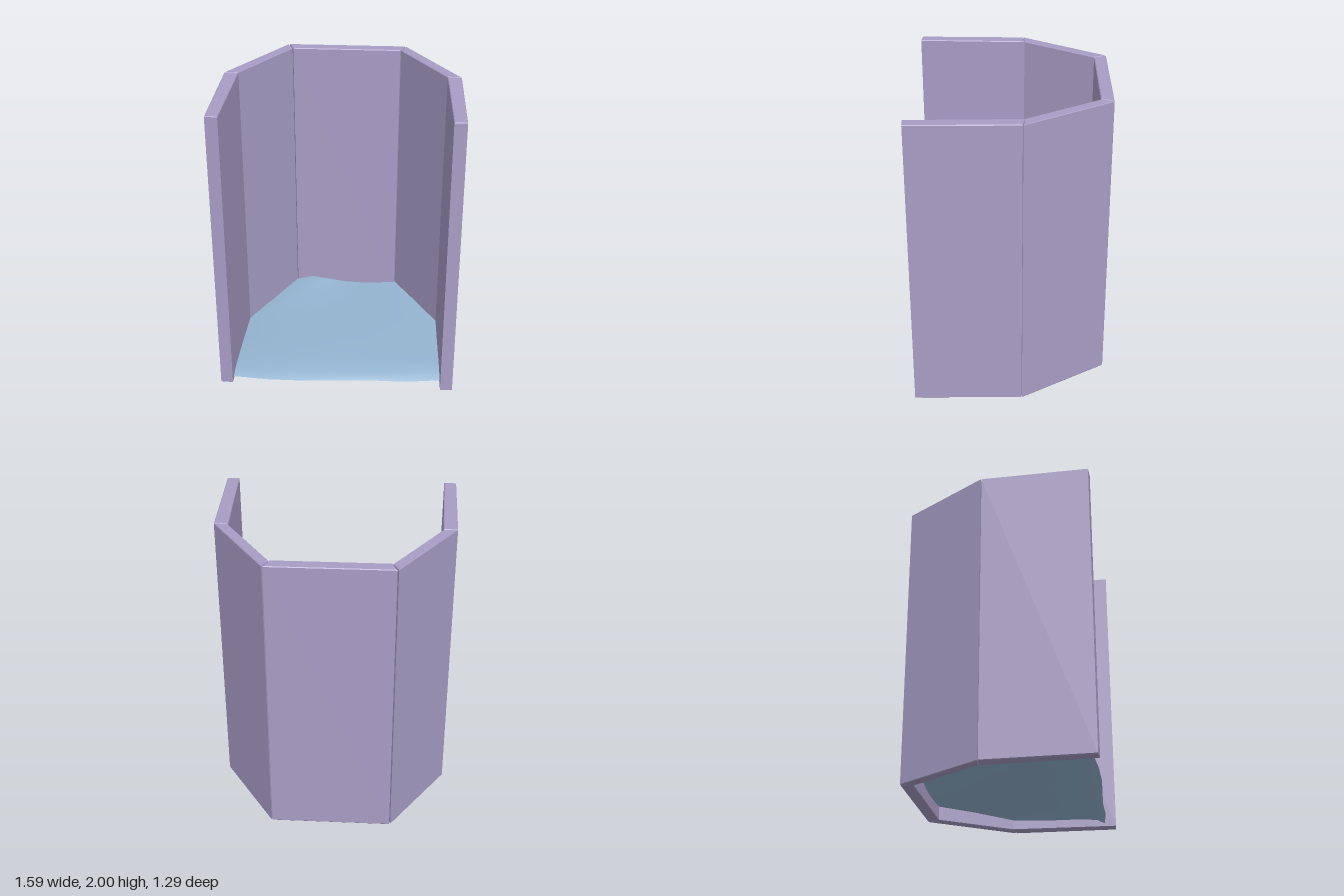
import * as THREE from 'three';

const wallMat = new THREE.MeshStandardMaterial({ color: 0xa89dc6 });
const floorMat = new THREE.MeshStandardMaterial({ color: 0x93b3cf, side: THREE.DoubleSide });

// Upright panel from its footprint corners [x, z], with slightly chamfered edges
function panel(name, corners) {
  const pts = corners.map(([x, z]) => new THREE.Vector2(x, -z));
  if (THREE.ShapeUtils.area(pts) < 0) pts.reverse();
  const b = 0.005;
  const geo = new THREE.ExtrudeGeometry(new THREE.Shape(pts), {
    depth: 2 - 2 * b, bevelEnabled: true, bevelSegments: 1,
    bevelSize: b, bevelThickness: b, bevelOffset: -b,
  });
  geo.rotateX(-Math.PI / 2);
  geo.translate(0, b, 0);
  const mesh = new THREE.Mesh(geo, wallMat);
  mesh.name = name;
  return mesh;
}

// Uneven ground sheet: rows run from back to front, each with its half width and heights
function createFloor() {
  const rows = [
    [-0.57, 0.38, [0.10, 0.13, 0.11, 0.09, 0.085, 0.09, 0.10]],
    [-0.33, 0.53, [0.07, 0.10, 0.09, 0.08, 0.08, 0.09, 0.09]],
    [-0.08, 0.70, [0.04, 0.07, 0.08, 0.08, 0.08, 0.08, 0.07]],
    [0.20, 0.70, [0.05, 0.07, 0.075, 0.08, 0.08, 0.075, 0.06]],
    [0.42, 0.71, [0.05, 0.06, 0.07, 0.065, 0.065, 0.07, 0.06]],
    [0.54, 0.715, [0.045, 0.05, 0.055, 0.055, 0.055, 0.055, 0.05]],
    [0.60, 0.715, [0.025, 0.02, 0.02, 0.02, 0.02, 0.02, 0.025]],
  ];
  const frontShift = [0.005, 0.02, 0.02, 0.005, -0.01, -0.01, -0.035]; // wavy front rim
  const geo = new THREE.PlaneGeometry(1, 1, 6, 6);
  const pos = geo.attributes.position;
  rows.forEach(([z, half, heights], r) => heights.forEach((y, c) => {
    const shift = r === 6 ? frontShift[c] : r === 5 ? frontShift[c] * 0.7 : 0;
    pos.setXYZ(r * 7 + c, half * (c / 3 - 1), y, z + shift);
  }));
  geo.computeVertexNormals();
  const mesh = new THREE.Mesh(geo, floorMat);
  mesh.name = 'floor';
  return mesh;
}

export function createModel() {
  const group = new THREE.Group();
  group.name = 'openBooth';

  // Back wall
  group.add(panel('backWall', [[-0.405, -0.645], [0.405, -0.645], [0.373, -0.562], [-0.373, -0.562]]));

  // Mirrored slanted and side walls
  for (const [side, s] of [['left', 1], ['right', -1]]) {
    const mirror = (pts) => pts.map(([x, z]) => [x * s, z]);
    group.add(panel(side + 'SlantedWall',
      mirror([[0.378, -0.565], [0.413, -0.642], [0.783, -0.08], [0.69, -0.088]])));
    group.add(panel(side + 'SideWall',
      mirror([[0.69, -0.088], [0.783, -0.076], [0.795, 0.64], [0.713, 0.645]])));
  }

  group.add(createFloor());
  return group;
}
